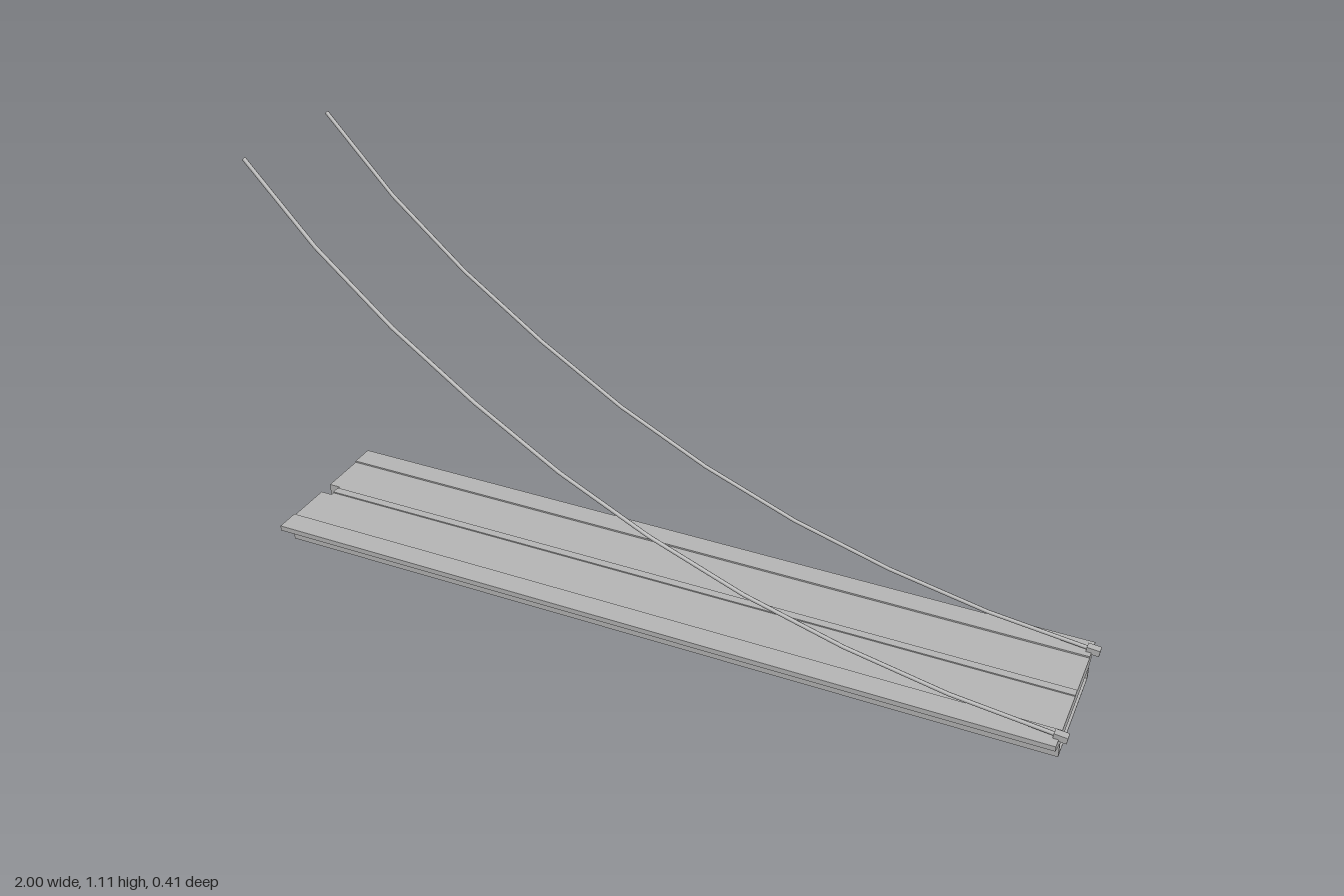
import * as THREE from 'three';

const grey = new THREE.MeshStandardMaterial({ color: 0xb4b4b4 });
grey.name = 'grey';

const X0 = -1, X1 = 0.98, RISE = 0.068;

// Cross-section points [z, y] of one half, mirrored to the other half
const mirrored = (half) => new THREE.Shape(
  [...half, ...half.map(([z, y]) => [-z, y]).reverse()].map(([z, y]) => new THREE.Vector2(z, y)));

// Extrudes a section along x, then shears it to the slope of the deck
function slopedPrism(name, shape, x0, x1) {
  let g = new THREE.ExtrudeGeometry(shape, { depth: x1 - x0, bevelEnabled: false });
  g.rotateY(Math.PI / 2).translate(x0, 0, 0);
  const p = g.attributes.position;
  for (let i = 0; i < p.count; i++) {
    p.setY(i, p.getY(i) + RISE * (X1 - p.getX(i)) / (X1 - X0));
  }
  g.computeVertexNormals();
  const mesh = new THREE.Mesh(g, grey);
  mesh.name = name;
  return mesh;
}

export function createModel() {
  const model = new THREE.Group();
  model.name = 'slopedDeckWithCables';

  // Outer half profile: box, tapered flange, raised edge strip
  const outer = [[0.155, 0], [0.155, 0.038], [0.207, 0.055], [0.207, 0.068], [0.145, 0.068], [0.145, 0.064]];

  // Main girder: hollow box with a low ridge along the centre
  const section = mirrored([...outer, [0.011, 0.064], [0.011, 0.067]]);
  section.holes.push(mirrored([[0.148, 0.003], [0.148, 0.035]]));
  model.add(slopedPrism('deckGirder', section, X0 + 0.03, X1));

  // High end, notched through the middle of the deck
  const notched = mirrored([...outer, [0.02, 0.064], [0.02, 0.035], [0.148, 0.035], [0.148, 0.003]]);
  // The inner floor closes the outline between the two mirrored halves
  model.add(slopedPrism('notchedEnd', notchedOutline(notched), X0, X0 + 0.03));

  // Curved cables with anchors at the low end
  const path = [[-1, 1.105], [-0.83, 0.915], [-0.64, 0.745], [-0.43, 0.59], [-0.22, 0.455],
    [0, 0.34], [0.24, 0.24], [0.48, 0.165], [0.73, 0.108], [0.98, 0.072]];
  for (const side of [1, -1]) {
    const z = side * 0.171;
    const curve = new THREE.CatmullRomCurve3(path.map(([x, y]) => new THREE.Vector3(x, y, z)));
    const cable = new THREE.Mesh(new THREE.TubeGeometry(curve, 9, 0.005, 8), grey);
    cable.name = side > 0 ? 'frontCable' : 'backCable';
    const anchor = new THREE.Mesh(new THREE.BoxGeometry(0.032, 0.016, 0.02), grey);
    anchor.name = side > 0 ? 'frontAnchor' : 'backAnchor';
    anchor.position.set(0.983, 0.071, z);
    anchor.rotation.z = -0.12;
    model.add(cable, anchor);
  }
  return model;
}

// Reorders the mirrored points so the outline runs along the bottom first
function notchedOutline(shape) {
  const pts = shape.getPoints();
  const n = pts.length / 2;
  const right = pts.slice(0, n), left = pts.slice(n, 2 * n);
  return new THREE.Shape([...right, ...left]);
}
